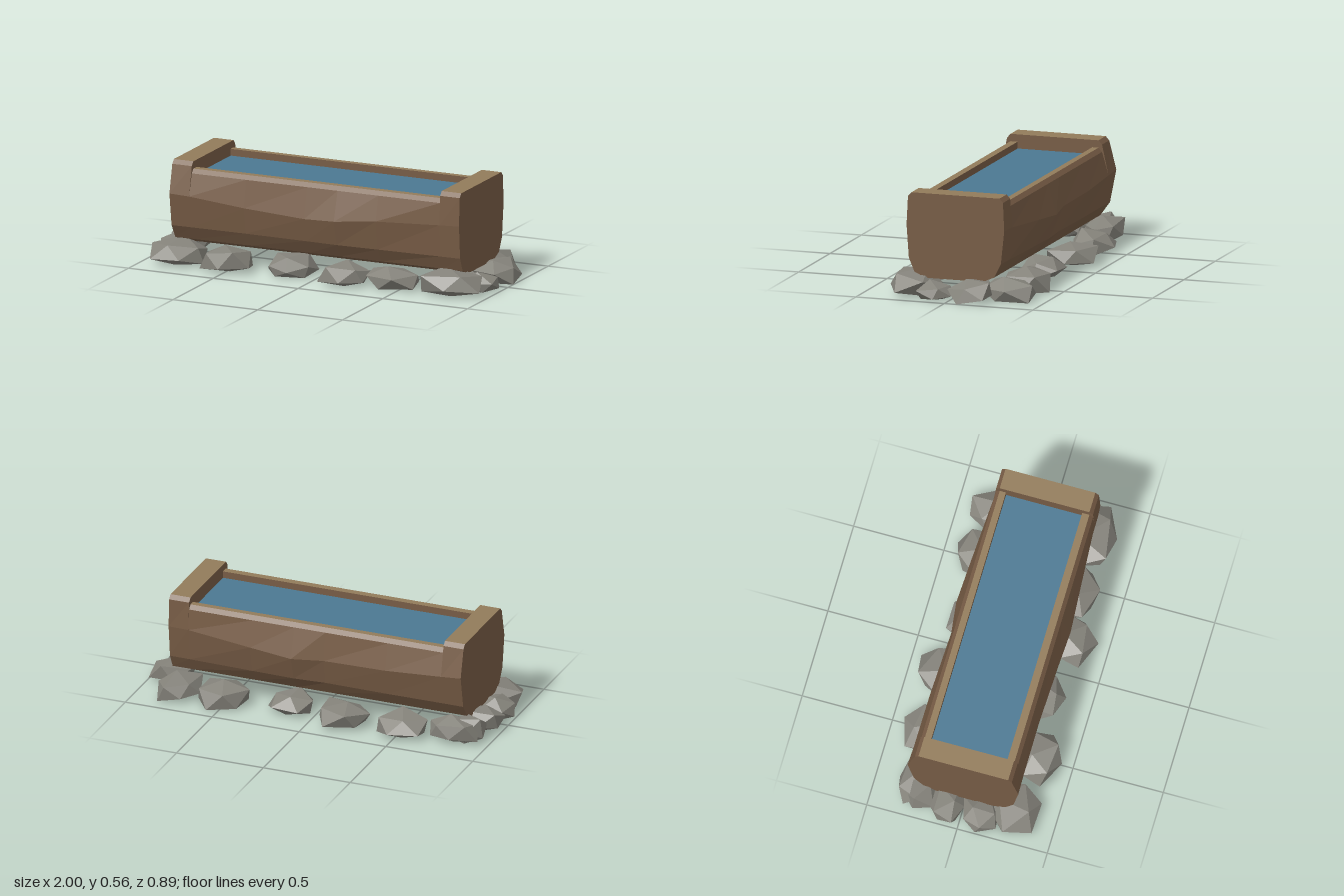
import * as THREE from 'three';

const mat = (name, color, extra = {}) =>
  Object.assign(new THREE.MeshStandardMaterial({ color, flatShading: true, ...extra }), { name });

// Outer outline at one station: front rim, down, across the bottom, up the back
function outline(x, front, back, creaseF, creaseB, top) {
  const side = (w, c, rim) => [
    [rim, top], [rim + 0.02, top - 0.022], [w, c],
    [w * 0.5 + 0.122, 0.2], [0.225, 0.125], [0.16, 0.097],
  ];
  const f = side(front, creaseF, 0.242).map(([z, y]) => [x, y, z]);
  const b = side(back, creaseB, 0.255).map(([z, y]) => [x, y, -z]).reverse();
  return [...f, ...b];
}

// Skin between matching cross-sections, with optional flat ends
function skin(sections, material, name, caps = false) {
  const pos = [];
  for (let i = 0; i + 1 < sections.length; i++) {
    const a = sections[i], b = sections[i + 1];
    for (let j = 0; j + 1 < a.length; j++)
      pos.push(...a[j], ...a[j + 1], ...b[j], ...b[j], ...a[j + 1], ...b[j + 1]);
  }
  if (caps) {
    const s = sections[0], e = sections[sections.length - 1];
    for (let j = 1; j + 1 < s.length; j++)
      pos.push(...s[0], ...s[j + 1], ...s[j], ...e[0], ...e[j], ...e[j + 1]);
  }
  const g = new THREE.BufferGeometry();
  g.setAttribute('position', new THREE.Float32BufferAttribute(pos, 3));
  g.computeVertexNormals();
  const m = new THREE.Mesh(g, material);
  m.name = name;
  return m;
}

// Faceted boulder fitted to a box, its underside cut flat on the ground
function rock(seed, x0, x1, z0, z1, h, material) {
  const g = new THREE.IcosahedronGeometry(1, 0);
  const p = g.attributes.position, v = new THREE.Vector3();
  const rnd = (k) => { const s = Math.sin(k * 12.9898 + seed * 78.233) * 43758.5453; return s - Math.floor(s); };
  const turn = new THREE.Euler(rnd(1) * 0.8, rnd(2) * 6, rnd(3) * 0.8);
  for (let i = 0; i < p.count; i++) {
    v.fromBufferAttribute(p, i);
    const key = Math.round(v.x * 50) + Math.round(v.y * 50) * 3.1 + Math.round(v.z * 50) * 7.3;
    v.multiplyScalar(0.82 + 0.36 * rnd(key)).applyEuler(turn);
    p.setXYZ(i, v.x, v.y, v.z);
  }
  g.computeBoundingBox();
  const { min, max } = g.boundingBox;
  const fit = (n, lo, hi, a, b) => a + (n - lo) / (hi - lo) * (b - a);
  for (let i = 0; i < p.count; i++)
    p.setXYZ(i, fit(p.getX(i), min.x, max.x, x0, x1),
      Math.max(0, fit(p.getY(i), min.y, max.y, -0.03, h)),
      fit(p.getZ(i), min.z, max.z, z0, z1));
  g.computeVertexNormals();
  const m = new THREE.Mesh(g, material);
  m.name = 'rock';
  return m;
}

export function createModel() {
  const bark = mat('bark brown', 0x775c45);
  const cut = mat('cut wood', 0x927b5a);
  const stone = mat('grey stone', 0x85837b);
  const blue = mat('water blue', 0x4b7892);
  const model = new THREE.Group();
  model.name = 'waterTrough';

  // Hollowed log between the raised ends: x, front, back, front crease, back crease
  const stations = [
    [-0.74, 0.295, 0.312, 0.375, 0.37], [-0.42, 0.29, 0.312, 0.345, 0.35],
    [-0.06, 0.3, 0.3, 0.328, 0.34], [0.12, 0.31, 0.323, 0.336, 0.33],
    [0.36, 0.295, 0.31, 0.36, 0.35], [0.725, 0.272, 0.287, 0.375, 0.38],
  ];
  const rimY = 0.517, waterY = 0.48, inF = 0.202, inB = -0.22;
  const body = stations.map((s) => outline(...s, rimY));
  model.add(skin(body, bark, 'logBody'));
  const strip = (pts, m, name) =>
    model.add(skin([-0.74, 0.725].map((x) => pts.map(([y, z]) => [x, y, z])), m, name));
  strip([[rimY, inF], [rimY, 0.242]], cut, 'frontRim');
  strip([[rimY, -0.255], [rimY, inB]], cut, 'backRim');
  strip([[waterY - 0.02, inF], [rimY, inF]], bark, 'frontInnerWall');
  strip([[rimY, inB], [waterY - 0.02, inB]], bark, 'backInnerWall');
  strip([[waterY, inB], [waterY, inF]], blue, 'water');

  // Raised end blocks with pale sawn tops
  const ends = [
    ['left', [0.725, 0.272, 0.287, 0.375, 0.38], [0.84, 0.27, 0.282, 0.38, 0.38]],
    ['right', [-0.855, 0.298, 0.315, 0.38, 0.38], [-0.74, 0.295, 0.312, 0.375, 0.37]],
  ];
  for (const [name, a, b] of ends) {
    const s = [outline(...a, 0.557), outline(...b, 0.557)];
    model.add(skin(s, bark, name + 'EndBlock', true));
    model.add(skin(s.map((o) => [o[o.length - 1], o[0]]), cut, name + 'EndTop'));
  }

  // Ring of rocks: x range, z range, height
  const rocks = new THREE.Group();
  rocks.name = 'rockRing';
  [
    [-0.98, -0.66, 0.14, 0.4, 0.13], [-0.65, -0.36, 0.17, 0.44, 0.13],
    [-0.32, -0.04, 0.13, 0.36, 0.11], [0.05, 0.31, 0.17, 0.44, 0.125],
    [0.3, 0.59, 0.14, 0.37, 0.115], [0.58, 0.97, 0.1, 0.375, 0.135],
    [-0.95, -0.66, -0.37, -0.17, 0.14], [-0.65, -0.38, -0.44, -0.18, 0.13],
    [-0.33, -0.04, -0.45, -0.18, 0.12], [0.02, 0.28, -0.365, -0.15, 0.11],
    [0.37, 0.66, -0.44, -0.18, 0.13], [0.65, 0.89, -0.43, -0.15, 0.125],
    [-0.96, -0.75, -0.33, -0.14, 0.13], [-1, -0.77, -0.2, 0.01, 0.12],
    [-0.995, -0.78, -0.01, 0.2, 0.12], [0.76, 1, -0.22, 0.01, 0.115],
    [0.76, 0.985, -0.01, 0.18, 0.1],
  ].forEach((r, i) => rocks.add(rock(i + 1, ...r, stone)));
  model.add(rocks);
  return model;
}
